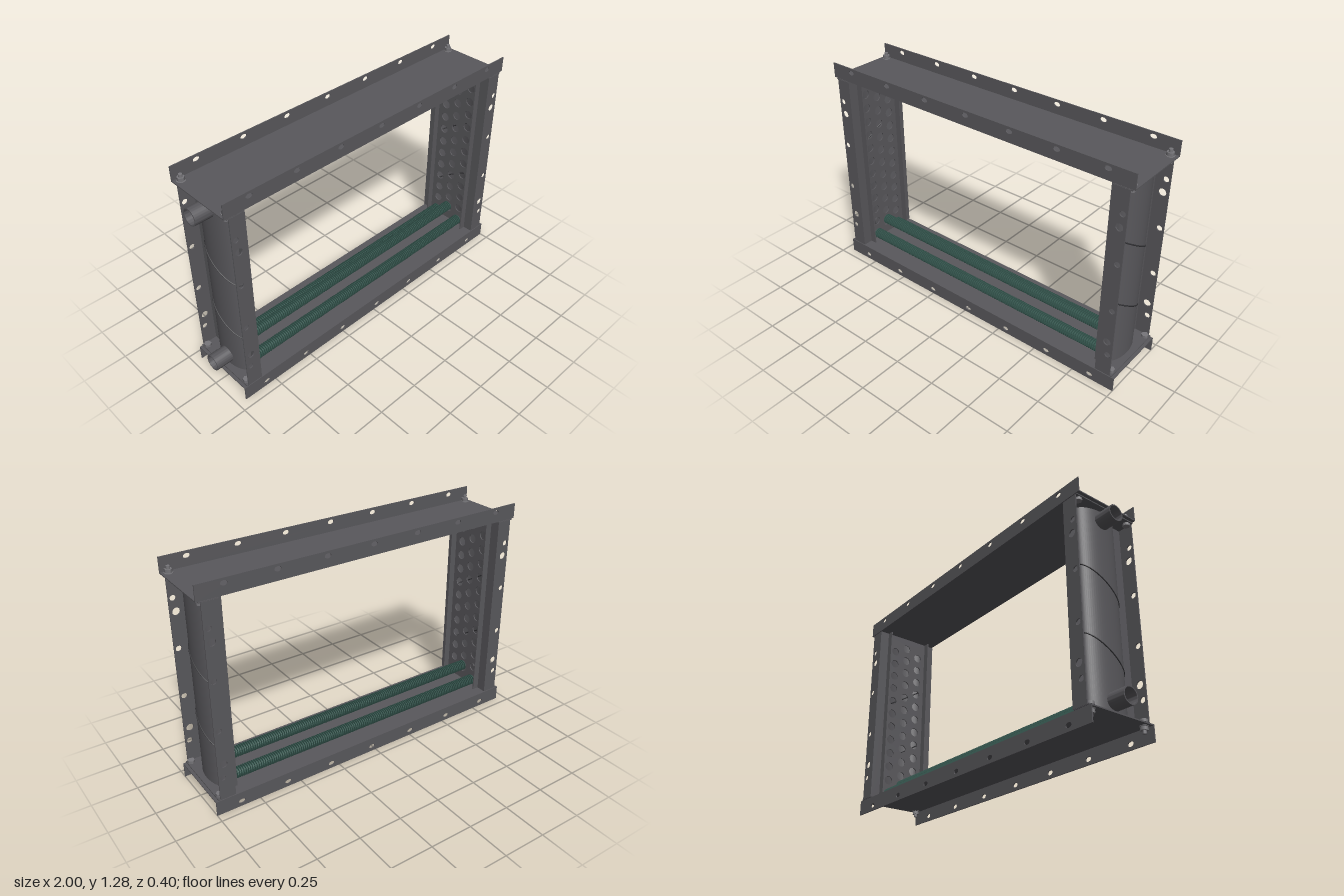
import * as THREE from 'three';
import { toCreasedNormals } from 'three/addons/utils/BufferGeometryUtils.js';

const steel = new THREE.MeshStandardMaterial({ color: 0x59585c, side: THREE.DoubleSide });
const boltSteel = new THREE.MeshStandardMaterial({ color: 0x77767a });
const finGreen = new THREE.MeshStandardMaterial({ color: 0x35574f });
const seamDark = new THREE.MeshStandardMaterial({ color: 0x333336 });

const MID = 0.025;          // frame centre in x
const T = 0.006;            // sheet thickness
const HALF_Z = 0.2;
const LOW = 0.085, HIGH = 1.2;  // channel web heights

function add(parent, name, geometry, material, x = 0, y = 0, z = 0) {
  const mesh = new THREE.Mesh(geometry, material);
  mesh.name = name;
  mesh.position.set(x, y, z);
  parent.add(mesh);
  return mesh;
}

// Flat sheet in XY with elliptical holes [x, y, rx, ry], centred on z
function sheet(x0, x1, y0, y1, holes) {
  const s = new THREE.Shape();
  s.moveTo(x0, y0).lineTo(x1, y0).lineTo(x1, y1).lineTo(x0, y1).closePath();
  for (const [x, y, rx, ry] of holes) {
    s.holes.push(new THREE.Path().absellipse(x, y, rx, ry, 0, Math.PI * 2, true));
  }
  const g = new THREE.ExtrudeGeometry(s, { depth: T, bevelEnabled: false, curveSegments: 8 });
  return g.translate(0, 0, -T / 2);
}

// Top or bottom channel: web with two drilled flanges pointing away from the opening
function channel(name, webY, y0, y1, holeY) {
  const g = new THREE.Group();
  g.name = name;
  add(g, 'web', new THREE.BoxGeometry(1.95, T, HALF_Z * 2), steel, MID, webY);
  const holes = [];
  for (let i = -3; i <= 3; i++) holes.push([MID + i * 0.277, holeY, 0.019, 0.013]);
  for (const s of [-1, 1]) {
    add(g, 'flange', sheet(MID - 0.975, MID + 0.975, y0, y1, holes), steel, 0, 0, s * (HALF_Z - T / 2));
  }
  return g;
}

// Vertical bolt, pointing up from the web
function bolt() {
  const g = new THREE.Group();
  g.name = 'bolt';
  add(g, 'head', new THREE.CylinderGeometry(0.02, 0.02, 0.015, 6), boltSteel, 0, -0.02);
  add(g, 'washer', new THREE.CylinderGeometry(0.023, 0.023, 0.005, 20), boltSteel, 0, 0.006);
  add(g, 'nut', new THREE.CylinderGeometry(0.02, 0.02, 0.018, 6), boltSteel, 0, 0.018);
  add(g, 'shank', new THREE.CylinderGeometry(0.01, 0.01, 0.07, 16), boltSteel, 0, 0.008);
  return g;
}

// Side post with tube plate, lips, outer header and end tabs; outside faces +x
function post(name) {
  const g = new THREE.Group();
  g.name = name;
  const y0 = LOW + 0.006, y1 = HIGH - 0.006, midY = (y0 + y1) / 2, h = y1 - y0;
  const px = 0.865;

  // drilled tube plate with staggered columns
  const tubeHoles = [];
  for (let k = 0; k < 12; k++) {
    for (const z of [-0.085, 0, 0.085]) {
      const y = 0.125 + k * 0.087 + (z === 0 ? 0.0435 : 0);
      if (y < 1.16) tubeHoles.push([z, y, 0.026, 0.026]);
    }
  }
  add(g, 'tubePlate', sheet(-HALF_Z, HALF_Z, y0, y1, tubeHoles).rotateY(Math.PI / 2), steel, px);

  const flangeHoles = [
    ...[0.22, 0.5, 0.78, 1.06].map((y) => [0.925, y, 0.016, 0.016]),
    ...[0.3, 0.985].map((y) => [0.915, y, 0.021, 0.021]),
  ];
  for (const s of [-1, 1]) {
    add(g, 'flange', sheet(px, 0.95, y0, y1, flangeHoles), steel, 0, 0, s * (HALF_Z - T / 2));
    add(g, 'lip', new THREE.BoxGeometry(0.042, h, T), steel, px - 0.02, midY, s * 0.14);
    const tab = s > 0 ? y1 : y0;
    add(g, 'endTab', new THREE.BoxGeometry(0.095, T, HALF_Z * 2 - 0.004), steel, px + 0.0475, tab);
    // bolts at both ends of the post
    for (const z of [-0.17, 0.17]) {
      const b = bolt();
      b.position.set(0.94, s > 0 ? HIGH : LOW, z);
      if (s < 0) b.rotation.x = Math.PI;
      g.add(b);
    }
  }

  // curved header cover closing the outside of the tube plate
  const cover = new THREE.CylinderGeometry(0.13, 0.13, h - 0.012, 32, 1, false, 0, Math.PI);
  add(g, 'headerCover', cover.scale(0.5, 1, 1), steel, px, midY);

  // sloping partition seams on the cover
  for (const y of [0.41, 0.78]) {
    const pts = [];
    for (let i = 0; i <= 12; i++) {
      const a = (i / 12) * Math.PI;
      pts.push(new THREE.Vector3(px + 0.065 * Math.sin(a), y + 0.08 * Math.cos(a), 0.13 * Math.cos(a)));
    }
    add(g, 'partitionSeam', new THREE.TubeGeometry(new THREE.CatmullRomCurve3(pts), 32, 0.004, 6), seamDark);
  }
  return g;
}

// Finned tube along x, turned from one stepped profile
function finnedTubeGeometry(length) {
  const core = 0.018, fin = 0.031, count = 132, pitch = length / count;
  const pts = [new THREE.Vector2(core, -length / 2)];
  for (let i = 0; i < count; i++) {
    const y = -length / 2 + (i + 0.5) * pitch, t = 0.002;
    pts.push(new THREE.Vector2(core, y - t), new THREE.Vector2(fin, y - t),
      new THREE.Vector2(fin, y + t), new THREE.Vector2(core, y + t));
  }
  pts.push(new THREE.Vector2(core, length / 2));
  return toCreasedNormals(new THREE.LatheGeometry(pts, 18), 0.7).rotateZ(-Math.PI / 2);
}

// Open connection pipe along x
function pipeGeometry(length) {
  const s = new THREE.Shape().absarc(0, 0, 0.046, 0, Math.PI * 2);
  s.holes.push(new THREE.Path().absarc(0, 0, 0.04, 0, Math.PI * 2, true));
  const g = new THREE.ExtrudeGeometry(s, { depth: length, bevelEnabled: false, curveSegments: 24 });
  return toCreasedNormals(g.rotateY(Math.PI / 2), 0.6);
}

export function createModel() {
  const model = new THREE.Group();
  model.name = 'heatExchangerFrame';

  model.add(channel('topChannel', HIGH + T / 2, HIGH, 1.285, 1.26));
  model.add(channel('bottomChannel', LOW - T / 2, 0, LOW, 0.03));

  const leftPost = post('leftPost');
  leftPost.position.x = MID;
  const rightPost = post('rightPost');
  rightPost.position.x = MID;
  rightPost.rotation.y = Math.PI;
  model.add(leftPost, rightPost);

  // bottom rows of finned tubes, the middle one raised
  const tube = finnedTubeGeometry(1.72);
  for (const [y, z] of [[0.126, -0.085], [0.191, 0], [0.126, 0.085]]) {
    add(model, 'finnedTube', tube, finGreen, MID, y, z);
  }

  // inlet and outlet pipes on the right-hand header
  for (const [name, y] of [['outletPipe', 1.132], ['inletPipe', 0.16]]) {
    add(model, name, pipeGeometry(0.11), steel, -1, y, 0);
  }
  return model;
}
